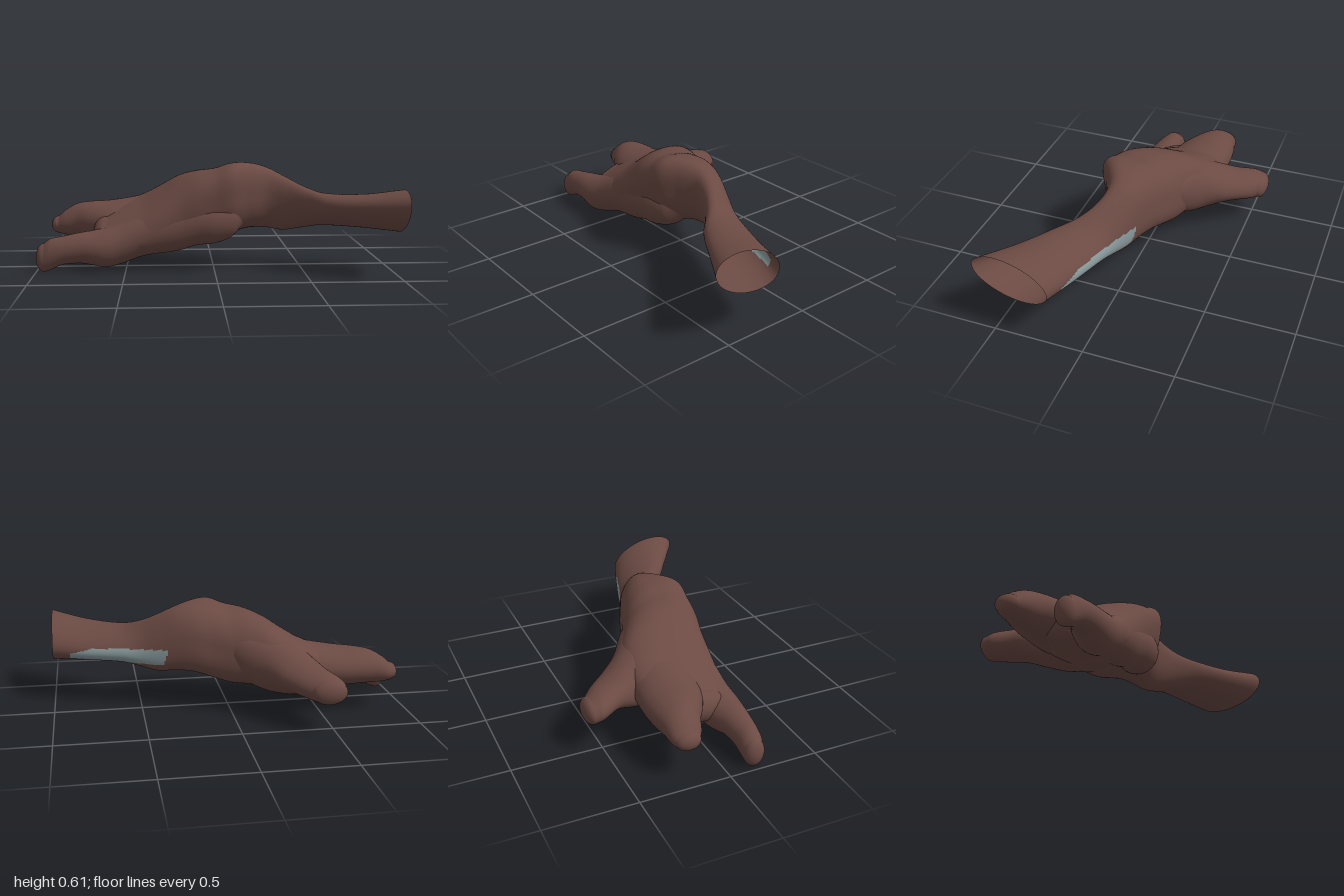
import * as THREE from 'three';

const skin = new THREE.MeshStandardMaterial({ color: 0x6b4a43, side: THREE.DoubleSide });
skin.name = 'brown skin';
const grey = new THREE.MeshStandardMaterial({ color: 0x88999c, side: THREE.DoubleSide });
grey.name = 'blue grey patch';

const AROUND = 96, STEPS = 10, CAP = 8;

// Smooth value through the rows of one column (Hermite slopes suit uneven spacing)
function sample(rows, i, u, c) {
  const slope = (k) => {
    const p = rows[Math.max(0, k - 1)], n = rows[Math.min(rows.length - 1, k + 1)];
    return (n[c] - p[c]) / (n[0] - p[0]);
  };
  const a = rows[i], b = rows[i + 1], d = b[0] - a[0], v = 1 - u;
  return a[c] * (1 + 2 * u) * v * v + slope(i) * d * u * v * v
    + b[c] * u * u * (3 - 2 * u) - slope(i + 1) * d * u * u * v;
}

const signedPow = (v, e) => Math.sign(v) * Math.abs(v) ** e;

// Loft of tilted superellipses. Each row: [position, sideMin, sideMax, yMin, yMax, tilt, power],
// running toward the negative end of the axis and closed by a rounded cap.
// A power of 1 is an ellipse, less is boxier.
function loft(name, axis, rows, cap, isPatch) {
  const rings = [];
  for (let i = 0; i < rows.length - 1; i++) {
    for (let s = i ? 1 : 0; s <= STEPS; s++) {
      const u = s / STEPS;
      const pos = rows[i][0] + (rows[i + 1][0] - rows[i][0]) * u;
      rings.push([pos, ...[1, 2, 3, 4, 5, 6].map((c) => sample(rows, i, u, c))]);
    }
  }
  const [end, s0, s1, y0, y1, tilt, power] = rows[rows.length - 1];
  for (let k = 1; k <= CAP; k++) {
    const a = (k / CAP) * Math.PI / 2, f = Math.cos(a) / 2;
    const sc = (s0 + s1) / 2, yc = (y0 + y1) / 2, sr = (s1 - s0) * f, yr = (y1 - y0) * f;
    rings.push([end - cap * Math.sin(a), sc - sr, sc + sr, yc - yr, yc + yr, tilt, power]);
  }

  const points = [], faces = [[], []];
  for (const [p, a, b, lo, hi, t, e] of rings) {
    for (let j = 0; j < AROUND; j++) {
      const w = (j / AROUND) * Math.PI * 2;
      const side = (a + b) / 2 + (b - a) / 2 * signedPow(Math.cos(w), e);
      const y = (lo + hi) / 2 + (hi - lo) / 2 * signedPow(Math.sin(w + t), e);
      if (axis === 'x') points.push(p, y, side);
      else points.push(side, y, p);
    }
  }
  for (let i = 0; i < rings.length - 1; i++) {
    for (let j = 0; j < AROUND; j++) {
      const k = (j + 1) % AROUND;
      const a = i * AROUND + j, b = i * AROUND + k, c = a + AROUND, d = b + AROUND;
      const away = j > AROUND / 4 && j < AROUND * 0.68;
      const list = faces[isPatch && away && isPatch(points[a * 3], points[a * 3 + 1]) ? 1 : 0];
      if (axis === 'x') list.push(a, b, c, b, d, c);
      else list.push(a, c, b, b, c, d);
    }
  }
  const geo = new THREE.BufferGeometry();
  geo.setAttribute('position', new THREE.Float32BufferAttribute(points, 3));
  geo.setIndex([...faces[0], ...faces[1]]);
  geo.addGroup(0, faces[0].length, 0);
  geo.addGroup(faces[0].length, faces[1].length, 1);
  geo.computeVertexNormals();
  const mesh = new THREE.Mesh(geo, isPatch ? [skin, grey] : skin);
  mesh.name = name;
  return mesh;
}

export function createModel() {
  const group = new THREE.Group();
  group.name = 'three-toed hand';

  // Grey strip along the back of the forearm, narrowing toward the open end
  const strip = (x, y) => x > 0.35 + (0.36 - y) * 0.3 && x < 0.91
    && y > 0.267 + 0.04 * Math.max(0, x - 0.6)
    && y < 0.358 - 0.03 * (x - 0.35) - 0.25 * Math.max(0, x - 0.78);

  // Hollow forearm, wrist hump and palm in one skin
  group.add(loft('forearmAndPalm', 'x', [
    [1.0, 0.18, 0.59, 0.245, 0.49, 0.4, 1],
    [0.8, 0.108, 0.46, 0.255, 0.455, 0.45, 1],
    [0.6, 0.04, 0.33, 0.255, 0.45, 0.42, 1],
    [0.5, 0.01, 0.235, 0.235, 0.48, 0.38, 1],
    [0.4, -0.03, 0.17, 0.215, 0.53, 0.3, 0.95],
    [0.3, -0.07, 0.145, 0.225, 0.58, 0.3, 0.88],
    [0.2, -0.11, 0.185, 0.22, 0.607, 0.35, 0.82],
    [0.1, -0.145, 0.245, 0.19, 0.61, 0.38, 0.8],
    [0.0, -0.19, 0.25, 0.16, 0.578, 0.3, 0.82],
    [-0.1, -0.235, 0.25, 0.145, 0.56, 0.15, 0.86],
    [-0.2, -0.28, 0.24, 0.115, 0.525, 0, 0.9],
    [-0.3, -0.3, 0.24, 0.11, 0.465, -0.15, 0.9],
    [-0.4, -0.3, 0.24, 0.09, 0.41, -0.3, 0.9],
    [-0.5, -0.28, 0.23, 0.08, 0.37, -0.4, 0.95],
    [-0.61, -0.24, 0.2, 0.1, 0.31, -0.4, 1],
  ], 0.08, strip));

  // Outer edge of the palm running on into the front toe, bent down at the tip
  group.add(loft('palmEdgeAndFrontToe', 'x', [
    [0.16, 0.02, 0.16, 0.25, 0.42, 0, 1],
    [0.1, 0.0, 0.22, 0.19, 0.42, 0, 1],
    [0.0, 0.0, 0.25, 0.155, 0.42, 0, 1],
    [-0.1, 0.0, 0.25, 0.145, 0.41, 0, 1],
    [-0.2, 0.0, 0.245, 0.115, 0.39, 0, 1],
    [-0.4, 0.0, 0.24, 0.085, 0.33, 0, 1],
    [-0.52, 0.01, 0.245, 0.045, 0.28, 0, 1],
    [-0.61, 0.03, 0.255, 0.027, 0.25, 0, 1],
    [-0.68, 0.045, 0.25, 0.04, 0.235, 0, 1],
    [-0.75, 0.07, 0.24, 0.052, 0.225, 0, 1],
    [-0.85, 0.085, 0.23, 0.045, 0.205, 0, 1],
    [-0.92, 0.09, 0.22, 0.015, 0.19, 0, 1],
    [-0.955, 0.095, 0.21, 0.003, 0.165, 0, 1],
  ], 0.045));

  // Broader, higher middle toe
  group.add(loft('middleToe', 'x', [
    [-0.2, -0.22, 0.04, 0.2, 0.46, 0, 1],
    [-0.4, -0.29, 0.05, 0.14, 0.405, 0, 1],
    [-0.6, -0.31, 0.03, 0.14, 0.37, 0, 1],
    [-0.72, -0.305, -0.025, 0.15, 0.36, 0, 1],
    [-0.8, -0.29, -0.075, 0.155, 0.345, 0, 1],
    [-0.87, -0.28, -0.105, 0.16, 0.305, 0, 1],
    [-0.91, -0.265, -0.13, 0.17, 0.27, 0, 1],
  ], 0.042));

  // Thumb splayed out to the back, rising toward the wrist at its root
  group.add(loft('thumb', 'z', [
    [0.0, -0.38, 0.08, 0.18, 0.42, 0.3, 1],
    [-0.1, -0.43, 0.06, 0.135, 0.48, 0.3, 1],
    [-0.2, -0.46, -0.02, 0.12, 0.455, 0.3, 0.95],
    [-0.3, -0.48, -0.155, 0.14, 0.395, 0.15, 0.95],
    [-0.4, -0.51, -0.235, 0.17, 0.345, 0, 1],
    [-0.5, -0.56, -0.315, 0.165, 0.315, 0, 1],
    [-0.55, -0.56, -0.37, 0.16, 0.295, 0, 1],
  ], 0.045));

  return group;
}
